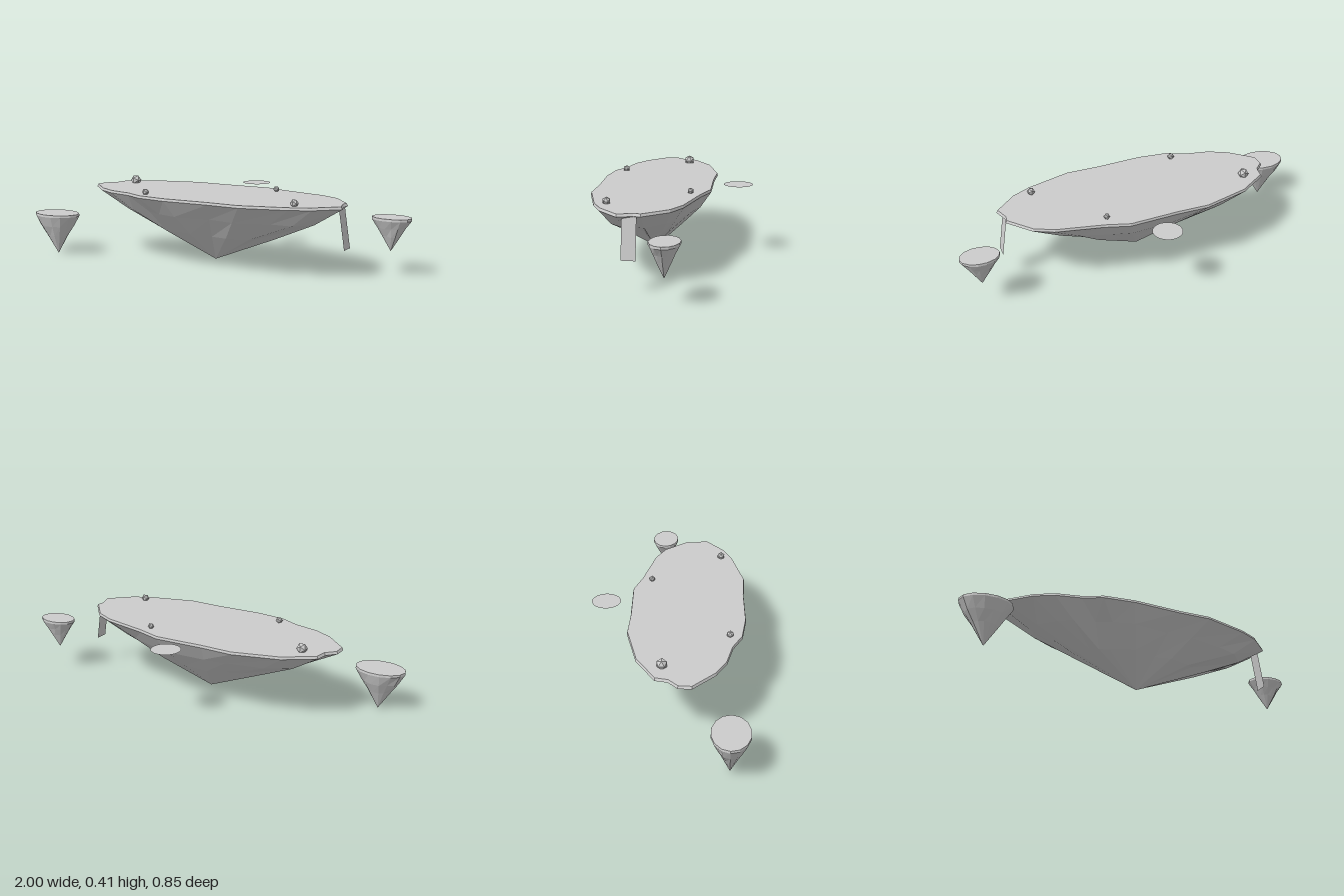
import * as THREE from 'three';

// Seeded noise in -1..1
function makeNoise(seed) {
  let s = seed;
  return () => {
    s = (s * 16807) % 2147483647;
    return (s / 2147483647) * 2 - 1;
  };
}

// Inverted rock cone: flat cap, rings of scaled outline, pointed tip.
// rings: [scale, y, roughness] from the top down; outline runs clockwise seen from above.
function islandGeometry(outline, [cx, cz], rings, tipY, seed) {
  const noise = makeNoise(seed);
  const n = outline.length;
  const loops = rings.map(([scale, y, rough]) => outline.map(([x, z]) => {
    const k = scale + noise() * rough;
    return [cx + (x - cx) * k, y + noise() * rough * 0.1, cz + (z - cz) * k];
  }));
  const pos = [];
  const tri = (...pts) => pts.forEach((p) => pos.push(...p));
  const top = [cx, rings[0][1], cz];
  const tip = [cx, tipY, cz];
  for (let i = 0; i < n; i++) {
    const j = (i + 1) % n;
    tri(top, loops[0][j], loops[0][i]);
    for (let r = 0; r < loops.length - 1; r++) {
      const a = loops[r][i], b = loops[r][j], c = loops[r + 1][i], d = loops[r + 1][j];
      tri(a, b, d);
      tri(a, d, c);
    }
    const last = loops[loops.length - 1];
    tri(last[i], last[j], tip);
  }
  const g = new THREE.BufferGeometry();
  g.setAttribute('position', new THREE.Float32BufferAttribute(pos, 3));
  g.computeVertexNormals();
  return g;
}

// Clockwise ellipse outline
function ellipse(cx, cz, rx, rz, n) {
  return Array.from({ length: n }, (_, i) => {
    const a = (i / n) * Math.PI * 2;
    return [cx + rx * Math.cos(a), cz + rz * Math.sin(a)];
  });
}

export function createModel() {
  const group = new THREE.Group();
  const stone = new THREE.MeshStandardMaterial({ color: 0xcccccc, flatShading: true, side: THREE.DoubleSide });
  stone.name = 'pale grey';
  const add = (name, geometry) => {
    const m = new THREE.Mesh(geometry, stone);
    m.name = name;
    group.add(m);
    return m;
  };

  // Main island
  const shore = [
    [-0.53, -0.14], [-0.29, -0.21], [-0.12, -0.21], [0.145, -0.225], [0.27, -0.187], [0.515, -0.137],
    [0.615, -0.09], [0.72, 0.03], [0.715, 0.065], [0.74, 0.14], [0.63, 0.245], [0.53, 0.295],
    [0.295, 0.365], [0.12, 0.365], [-0.13, 0.38], [-0.29, 0.365], [-0.39, 0.32], [-0.52, 0.295],
    [-0.62, 0.245], [-0.735, 0.14], [-0.735, 0.075], [-0.69, 0.027], [-0.68, -0.037],
  ];
  add('mainIsland', islandGeometry(shore, [0, 0.085],
    [[0.99, 0.373, 0], [1, 0.36, 0], [0.78, 0.27, 0.04], [0.46, 0.17, 0.04]], 0.024, 7));

  // Two small floating islands
  add('rightIslet', islandGeometry(ellipse(-0.867, 0.327, 0.133, 0.095, 14), [-0.867, 0.327],
    [[0.99, 0.227, 0], [1, 0.215, 0], [0.76, 0.16, 0.03], [0.49, 0.105, 0.03]], 0.003, 21));
  add('leftIslet', islandGeometry(ellipse(0.893, -0.11, 0.102, 0.073, 14), [0.893, -0.107],
    [[0.99, 0.3, 0], [1, 0.288, 0], [0.73, 0.247, 0.03], [0.46, 0.205, 0.03]], 0.13, 33));

  // Waterfall sheet leaning outward off the +x edge
  const fallTop = [0.712, 0.362], fallBottom = [0.744, 0.157];
  const fall = new THREE.PlaneGeometry(0.07, Math.hypot(fallBottom[0] - fallTop[0], fallTop[1] - fallBottom[1]));
  fall.rotateY(Math.PI / 2);
  fall.rotateZ(Math.atan2(fallBottom[0] - fallTop[0], fallTop[1] - fallBottom[1]));
  add('waterfall', fall).position.set((fallTop[0] + fallBottom[0]) / 2, (fallTop[1] + fallBottom[1]) / 2, 0.085);

  // Hovering disc behind the island
  const disc = new THREE.CircleGeometry(0.076, 32);
  disc.rotateX(-Math.PI / 2);
  add('floatingDisc', disc).position.set(0, 0.375, -0.35);

  // Boulders on the plateau: x, y, z, radius
  [
    [-0.58, 0.387, -0.011, 0.029],
    [0.53, 0.385, 0.231, 0.0215],
    [-0.29, 0.384, 0.303, 0.019],
    [0.24, 0.384, -0.132, 0.0165],
  ].forEach(([x, y, z, r], i) => {
    add(`boulder${i + 1}`, new THREE.IcosahedronGeometry(r, 0)).position.set(x, y, z);
  });

  return group;
}
